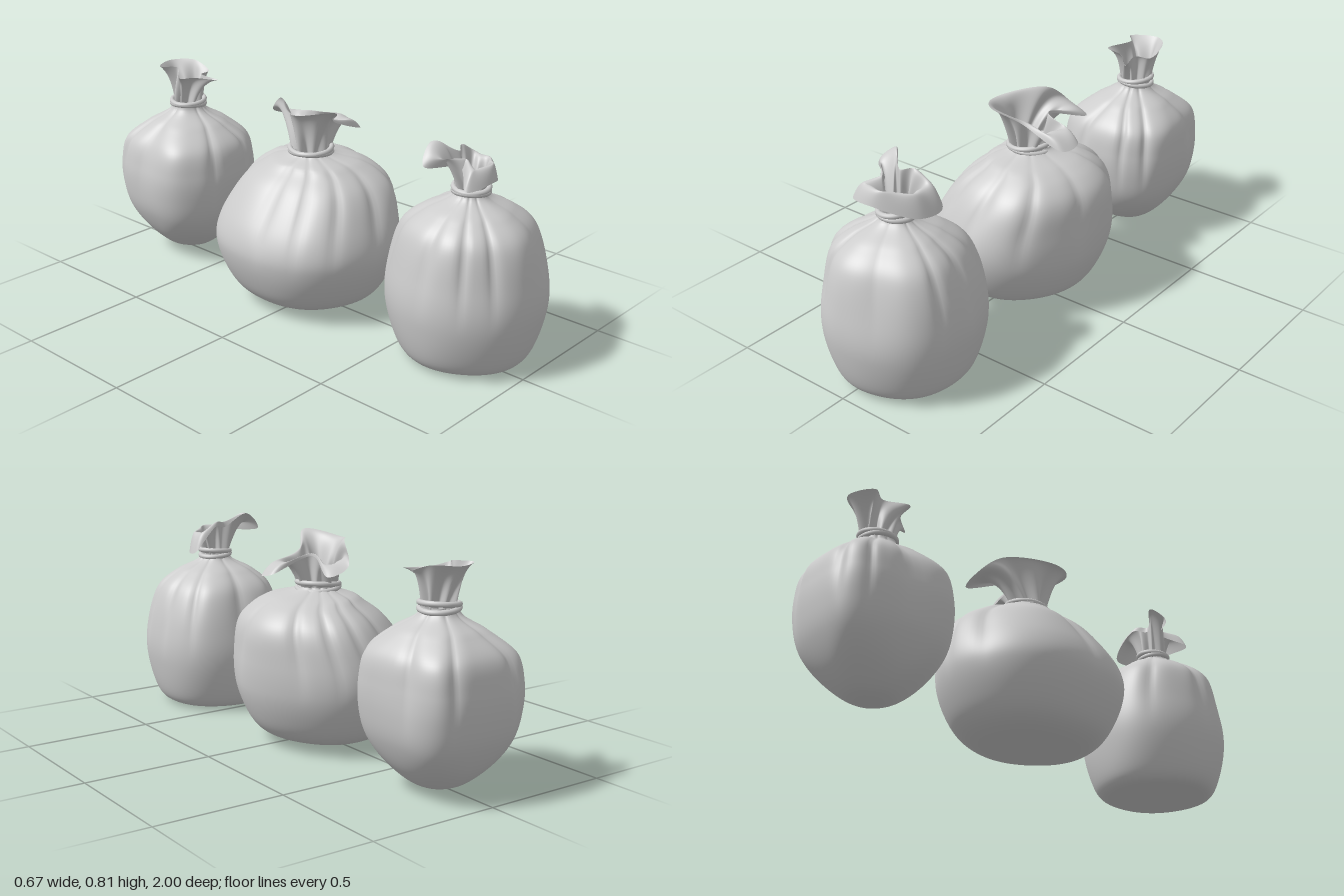
import * as THREE from 'three';

const material = new THREE.MeshStandardMaterial({ color: 0xcccccc, side: THREE.DoubleSide });
const SEG = 120;
const { lerp, smoothstep } = THREE.MathUtils;

// Skin a list of closed rings (bottom to top) with smooth, seamless normals.
function loft(name, rings) {
  const n = rings[0].length, index = [];
  for (let j = 0; j < rings.length - 1; j++) {
    for (let i = 0; i < n; i++) {
      const a = j * n + i, b = j * n + (i + 1) % n, c = a + n, d = b + n;
      index.push(a, c, b, b, c, d);
    }
  }
  const geo = new THREE.BufferGeometry().setFromPoints(rings.flat());
  geo.setIndex(index);
  geo.computeVertexNormals();
  const mesh = new THREE.Mesh(geo, material);
  mesh.name = name;
  return mesh;
}

// Filled body: profile points are (relative width, height); pleats deepen toward the tie.
function makeBody({ center, half, profile, neck, radius, bulge, square, pleats, depth, phase }) {
  const outline = new THREE.SplineCurve(profile.map(p => new THREE.Vector2(...p)));
  const rings = [], steps = 72;
  for (let j = 0; j <= steps; j++) {
    const { x: width, y } = outline.getPoint(j / steps);
    const lean = smoothstep(y, 0.35, 0.6), tied = smoothstep(y, 0.57, neck[1]);
    const cx = lerp(center[0], neck[0], lean) + bulge * smoothstep(y, 0.25, 0.5) * (1 - smoothstep(y, 0.54, 0.62));
    const cz = lerp(center[1], neck[2], lean);
    const hx = lerp(half[0] * width, radius, tied), hz = lerp(half[1] * width, radius, tied);
    const power = 2 / (2 + square * smoothstep(y, 0.03, 0.2) * (1 - smoothstep(y, 0.48, 0.62)));
    const gather = smoothstep(y, 0.2, 0.58) * depth;
    const ring = [];
    for (let i = 0; i < SEG; i++) {
      const a = i / SEG * Math.PI * 2, c = Math.cos(a), s = Math.sin(a);
      const w = a + 0.22 * Math.sin(2 * a + phase) + 0.12 * Math.sin(3 * a - phase);
      const crease = (1 - Math.abs(Math.sin(w * pleats / 2 + phase))) ** 2;
      const soft = 0.5 + 0.5 * Math.sin(5 * a + phase * 2 + y * 3);
      const k = 1 - gather * (crease + 0.4 * soft) - 0.02 * soft;
      const sx = Math.sign(c) * Math.abs(c) ** power * k;
      const sz = Math.sign(s) * Math.abs(s) ** power * k;
      ring.push(new THREE.Vector3(cx + sx * hx, y, cz + sz * hz));
    }
    rings.push(ring);
  }
  return loft('sackBody', rings);
}

// Loose cloth above the tie: gathered shut at the neck, it rises and folds over to a wavy rim.
function makeRuffle({ neck, radius, rim, lift, spread, phase }) {
  const [nx, ny, nz] = neck, steps = 20;
  const rings = [Array.from({ length: SEG }, () => new THREE.Vector3(nx, ny, nz))];
  const curve = new THREE.CatmullRomCurve3(rim.map(p => new THREE.Vector3(...p)), true, 'centripetal');
  const start = Math.atan2(rim[0][2] - nz, rim[0][0] - nx);
  for (let j = 0; j <= steps; j++) {
    const t = j / steps, ring = [];
    for (let i = 0; i < SEG; i++) {
      const a = start + i / SEG * Math.PI * 2;
      const r = radius * (0.72 + 0.2 * Math.sin(8 * a + phase));
      const end = curve.getPoint(i / SEG);
      const base = new THREE.Vector3(nx + r * Math.cos(a), ny - 0.015, nz + r * Math.sin(a));
      const mid = new THREE.Vector3(lerp(base.x, end.x, spread), ny + lift, lerp(base.z, end.z, spread));
      ring.push(base.multiplyScalar((1 - t) ** 2).addScaledVector(mid, 2 * t * (1 - t)).addScaledVector(end, t * t));
    }
    rings.push(ring);
  }
  return loft('clothRuffle', rings);
}

// Two turns of cord around the neck, slightly tilted against each other.
function makeTie({ neck, radius }) {
  const tie = new THREE.Group();
  tie.name = 'tieCord';
  [-1, 1].forEach(s => {
    const cord = new THREE.Mesh(new THREE.TorusGeometry(radius, 0.01, 10, 48), material);
    cord.name = 'cordTurn';
    cord.position.set(neck[0], neck[1] + s * 0.008, neck[2]);
    cord.rotation.set(Math.PI / 2 + s * 0.05, s * 0.09, 0);
    tie.add(cord);
  });
  return tie;
}

function makeSack(name, spec) {
  const sack = new THREE.Group();
  sack.name = name;
  sack.add(makeBody(spec), makeTie(spec), makeRuffle(spec));
  return sack;
}

export function createModel() {
  const model = new THREE.Group();
  model.name = 'threeTiedSacks';

  // Upright sack with a drooping cap of cloth
  model.add(makeSack('frontSack', {
    center: [0.041, 0.714], half: [0.284, 0.29], neck: [0.03, 0.64, 0.72], radius: 0.062,
    bulge: 0, square: 0.15, pleats: 9, depth: 0.09, phase: 0.7, lift: 0.19, spread: 0.5,
    profile: [[0, 0.014], [0.55, 0.005], [0.85, 0.04], [1, 0.2], [0.99, 0.34], [0.84, 0.5], [0.52, 0.58], [0.22, 0.64]],
    rim: [[0.17, 0.66, 0.64], [0.15, 0.65, 0.73], [0.02, 0.69, 0.82], [-0.1, 0.68, 0.79], [-0.03, 0.73, 0.71],
      [-0.13, 0.74, 0.63], [-0.06, 0.81, 0.61], [0.01, 0.75, 0.67], [0.07, 0.76, 0.64]]
  }));

  // Widest, roundest sack with a broad open collar
  model.add(makeSack('middleSack', {
    center: [-0.003, -0.03], half: [0.337, 0.378], neck: [0.02, 0.61, -0.03], radius: 0.08,
    bulge: 0.04, square: 0.05, pleats: 10, depth: 0.08, phase: 2.1, lift: 0.17, spread: 0.45,
    profile: [[0, 0.03], [0.45, 0.022], [0.74, 0.06], [0.91, 0.15], [1, 0.27], [0.94, 0.39], [0.78, 0.5], [0.48, 0.575], [0.24, 0.61]],
    rim: [[0.24, 0.67, -0.04], [0.23, 0.66, 0.04], [0.05, 0.73, 0.06], [-0.03, 0.8, 0.14], [-0.11, 0.78, 0],
      [0, 0.79, -0.17], [0.05, 0.71, -0.26], [0.13, 0.68, -0.25], [0.08, 0.73, -0.07]]
  }));

  // Boxier sack with a pointed base and crumpled tufts
  model.add(makeSack('backSack', {
    center: [0.02, -0.743], half: [0.25, 0.26], neck: [0.03, 0.65, -0.745], radius: 0.068,
    bulge: 0, square: 1, pleats: 8, depth: 0.1, phase: 4.2, lift: 0.1, spread: 0.35,
    profile: [[0, 0.008], [0.36, 0.03], [0.68, 0.1], [0.9, 0.2], [0.99, 0.3], [1, 0.4], [0.91, 0.5], [0.58, 0.58], [0.26, 0.65]],
    rim: [[0.12, 0.77, -0.71], [0.06, 0.77, -0.69], [0.07, 0.76, -0.6], [0, 0.77, -0.67], [-0.07, 0.78, -0.68],
      [-0.01, 0.8, -0.76], [-0.05, 0.8, -0.82], [0.05, 0.8, -0.87], [0.12, 0.8, -0.8]]
  }));
  return model;
}
